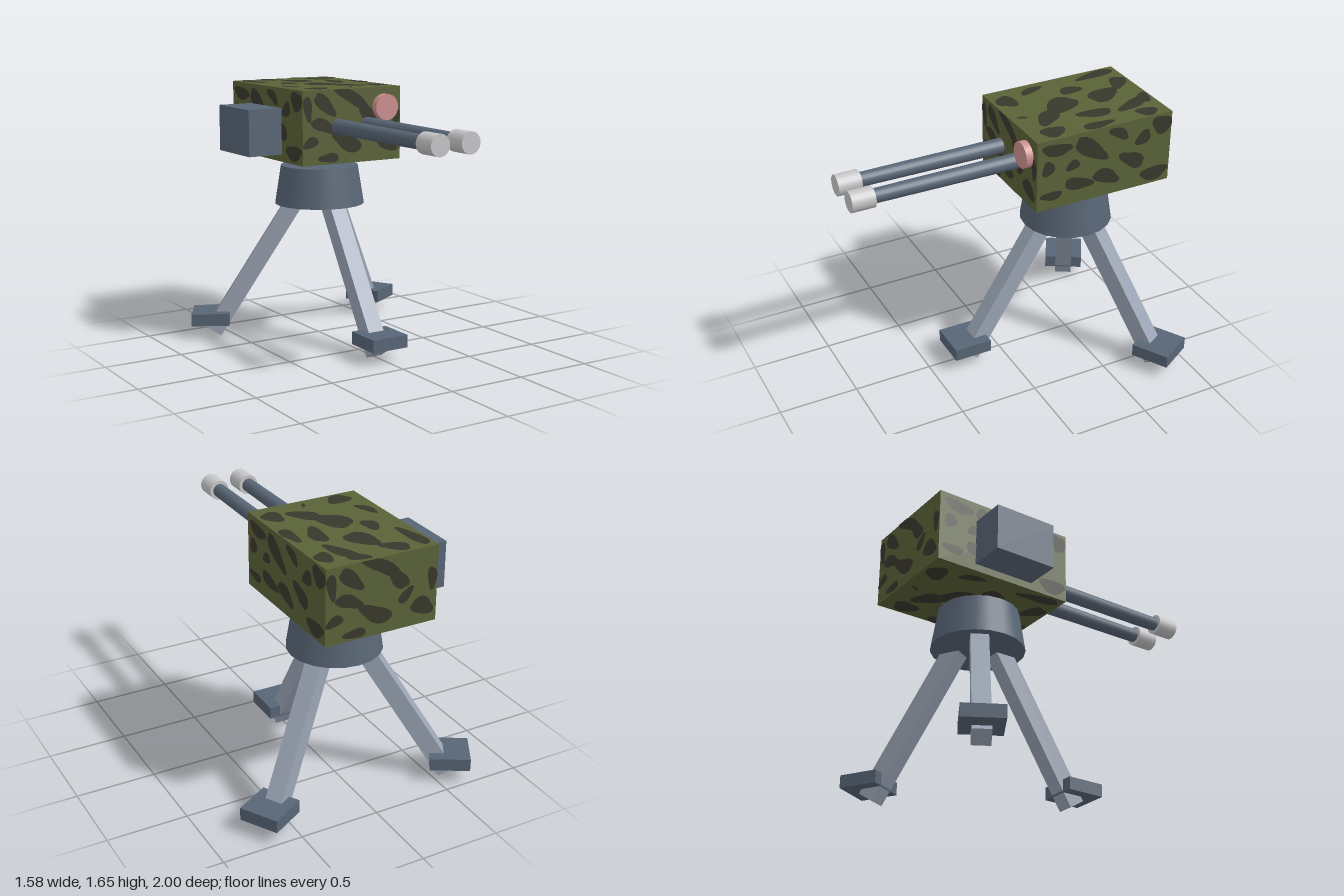
import * as THREE from 'three';

const paint = (name, color) => {
  const m = new THREE.MeshStandardMaterial({ color });
  m.name = name;
  return m;
};

// Camouflage blotches per face: [u, v, radiusU, radiusV, degrees]
const FRONT = [
  [-.32, .12, .03, .08, 10], [-.2, .14, .1, .04, -40], [.0, .17, .14, .04, -30], [.1, .08, .09, .04, -50],
  [.32, .04, .03, .07, 0], [-.21, .01, .09, .04, -25], [-.3, -.09, .06, .03, 20], [-.04, -.1, .11, .05, -25],
  [.15, -.03, .06, .03, 40], [.26, -.12, .08, .05, -20], [-.17, -.19, .07, .03, 0],
];
const SIDE = [
  [-.33, .16, .1, .04, -10], [-.1, .11, .14, .05, -35], [.09, .17, .07, .035, -30], [.26, .1, .06, .04, 30],
  [.39, .16, .07, .06, 0], [-.385, .045, .04, .05, 0], [-.22, .03, .05, .03, 20], [-.36, -.14, .07, .03, 0],
  [-.18, -.1, .1, .04, -15], [.01, -.1, .1, .045, -20], [.19, -.03, .09, .05, -30], [.35, -.16, .1, .045, 0],
];
const TOP = [
  [-.29, .3, .04, .14, 10], [-.13, .37, .09, .05, -30], [-.02, .2, .07, .12, 25], [.12, .4, .07, .04, -30],
  [.17, .29, .045, .12, 20], [.29, .32, .05, .07, 0], [-.165, .05, .05, .07, 0], [-.01, -.1, .08, .13, 25],
  [.17, .03, .05, .11, -5], [.31, -.03, .04, .1, 0], [-.27, -.17, .03, .09, 20], [-.2, -.37, .08, .06, 0],
  [.1, -.25, .1, .06, -40], [.27, -.31, .06, .08, 20], [.03, -.385, .012, .03, -25],
];

// Wobbly disc, trimmed to the edges of its face
function blotch([u, v, ru, rv, deg], seed, halfW, halfH) {
  const geo = new THREE.CircleGeometry(1, 28);
  const p = geo.attributes.position;
  const t = THREE.MathUtils.degToRad(deg), c = Math.cos(t), s = Math.sin(t);
  for (let i = 0; i < p.count; i++) {
    const a = Math.atan2(p.getY(i), p.getX(i));
    const k = 1 + 0.12 * Math.sin(3 * a + seed) + 0.07 * Math.sin(2 * a + seed * 2.3);
    const x = p.getX(i) * ru * k, y = p.getY(i) * rv * k;
    p.setXY(i,
      THREE.MathUtils.clamp(u + x * c - y * s, -halfW, halfW),
      THREE.MathUtils.clamp(v + x * s + y * c, -halfH, halfH));
  }
  return geo;
}

export function createModel() {
  const model = new THREE.Group();
  model.name = 'tripodTurret';

  const green = paint('camouflageGreen', 0x5a6238);
  const dark = paint('camouflageDark', 0x39382c);
  const steel = paint('blueSteel', 0x586575);
  const legGrey = paint('legGrey', 0x9ba5b5);
  const silver = paint('silver', 0xc6c6c8);
  const pink = paint('lensPink', 0xcc8f8f);

  const add = (parent, name, geo, mat, x = 0, y = 0, z = 0) => {
    const mesh = new THREE.Mesh(geo, mat);
    mesh.name = name;
    mesh.position.set(x, y, z);
    parent.add(mesh);
    return mesh;
  };
  const rod = (r, length, sides) => new THREE.CylinderGeometry(r, r, length, sides).rotateX(Math.PI / 2);

  // Gun housing
  const W = 0.71, H = 0.46, D = 0.915;
  const housing = new THREE.Group();
  housing.name = 'housing';
  housing.position.set(0, 1.42, -0.5275);
  model.add(housing);
  add(housing, 'housingBox', new THREE.BoxGeometry(W, H, D), green);

  // Camouflage on all six faces: pattern, width, height, distance, rotation
  const q = Math.PI / 2;
  const faces = [
    ['front', FRONT, W, H, D, 0, 0], ['back', FRONT, W, H, D, 0, Math.PI],
    ['left', SIDE, D, H, W, 0, q], ['right', SIDE, D, H, W, 0, -q],
    ['top', TOP, W, D, H, -q, 0], ['bottom', TOP, W, D, H, q, 0],
  ];
  for (const [name, pattern, w, h, depth, rx, ry] of faces) {
    const face = new THREE.Group();
    face.name = name + 'Camouflage';
    face.rotation.set(rx, ry, 0);
    pattern.forEach((b, i) =>
      add(face, 'blotch', blotch(b, i * 1.7, w / 2, h / 2), dark, 0, 0, depth / 2 + 0.003));
    housing.add(face);
  }

  // Ammunition box on the right flank and round sensor on the front
  add(model, 'ammunitionBox', new THREE.BoxGeometry(0.23, 0.29, 0.4), steel, -0.47, 1.38, -0.53);
  add(model, 'sensor', rod(0.082, 0.05, 24), pink, 0.228, 1.526, -0.05);

  // Twin barrels with muzzles
  for (const side of [-1, 1]) {
    add(model, 'barrel', new THREE.CylinderGeometry(0.044, 0.049, 0.96, 20).rotateX(q), steel, side * 0.105, 1.42, 0.39);
    add(model, 'muzzle', rod(0.065, 0.145, 20), silver, side * 0.105, 1.42, 0.9275);
  }

  // Tapered pedestal
  const axisZ = -0.475;
  add(model, 'pedestal', new THREE.CylinderGeometry(0.25, 0.29, 0.25, 20), steel, 0, 1.005, axisZ);

  // Three splayed legs with feet
  const tilt = Math.atan2(0.53, 0.847), legLength = 1.08;
  for (let i = 0; i < 3; i++) {
    const leg = new THREE.Group();
    leg.name = 'legAssembly';
    leg.position.z = axisZ;
    leg.rotation.y = i * Math.PI * 2 / 3;
    const strut = add(leg, 'leg', new THREE.BoxGeometry(0.11, legLength, 0.11), legGrey,
      0, 0.03 + Math.cos(tilt) * legLength / 2, 0.7 - Math.sin(tilt) * legLength / 2);
    strut.rotation.x = -tilt;
    add(leg, 'foot', new THREE.BoxGeometry(0.25, 0.08, 0.245), steel, 0, 0.125, 0.717);
    model.add(leg);
  }
  return model;
}
